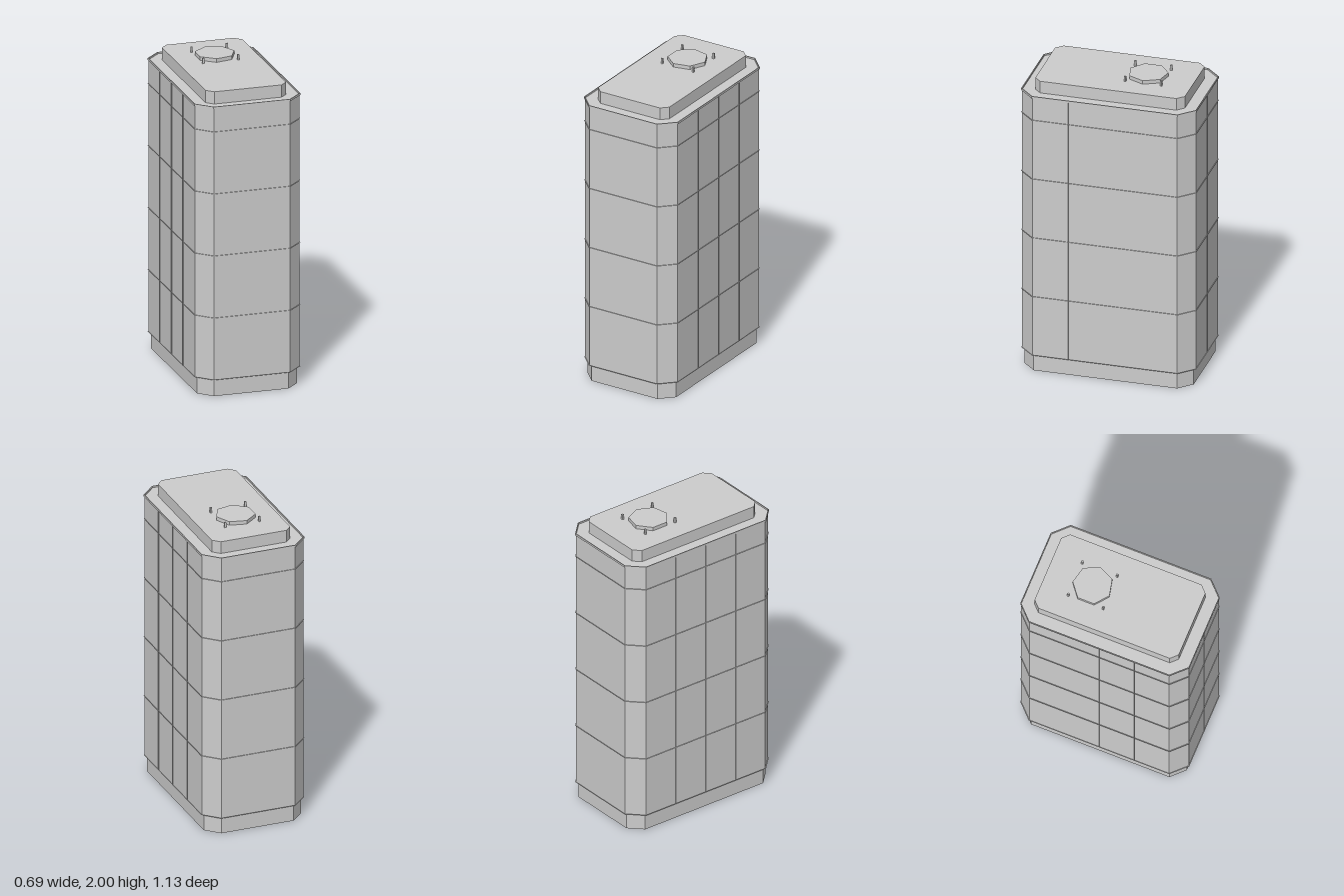
import * as THREE from 'three';

const grey = new THREE.MeshStandardMaterial({ color: 0xcccccc });
grey.name = 'lightGrey';
grey.flatShading = true;
const greyThin = new THREE.MeshStandardMaterial({ color: 0xcccccc, side: THREE.DoubleSide });
greyThin.name = 'lightGreyThin';

// Rectangle with cut corners, half sizes x and z, corner cut c
function octagon(x, z, c, Type = THREE.Shape) {
  return new Type([
    [x, -z + c], [x, z - c], [x - c, z], [-x + c, z],
    [-x, z - c], [-x, -z + c], [-x + c, -z], [x - c, -z],
  ].map(([a, b]) => new THREE.Vector2(a, b)));
}

// Cut-corner frame of wall thickness t
function frame(x, z, c, t) {
  const shape = octagon(x, z, c);
  shape.holes.push(octagon(x - t, z - t, c - t * 0.586, THREE.Path));
  return shape;
}

// Stand a plan shape up between two heights
function upright(shape, y0, y1) {
  return new THREE.ExtrudeGeometry(shape, { depth: y1 - y0, bevelEnabled: false })
    .rotateX(-Math.PI / 2).translate(0, y0, 0);
}

export function createModel() {
  const model = new THREE.Group();
  model.name = 'tower';
  const add = (name, geometry, material = grey) => {
    const mesh = new THREE.Mesh(geometry, material);
    mesh.name = name;
    model.add(mesh);
    return mesh;
  };

  // Hollow skirt, main body, raised rim and roof cap
  add('baseSkirt', upright(frame(0.325, 0.545, 0.083, 0.003), 0, 0.11));
  add('body', upright(octagon(0.34, 0.56, 0.093), 0.11, 1.885));
  add('roofRim', upright(frame(0.345, 0.565, 0.095, 0.006), 1.882, 1.895));
  add('roofCap', upright(octagon(0.262, 0.482, 0.043), 1.88, 1.965));

  // Paper-thin floor ledges around the body
  for (let i = 0; i < 5; i++) {
    const y = 0.111 + i * 0.405;
    add('floorLedge', new THREE.ShapeGeometry(frame(0.345, 0.565, 0.095, 0.008))
      .rotateX(-Math.PI / 2).translate(0, y, 0), greyThin);
  }

  // Paper-thin vertical fins: three on each long side
  const finHeight = 1.775, finY = 0.11 + finHeight / 2;
  for (const side of [-1, 1]) {
    for (const z of [-0.235, 0, 0.235]) {
      add('sideFin', new THREE.PlaneGeometry(0.008, finHeight)
        .translate(side * 0.341, finY, z), greyThin);
    }
    // One single-faced fin in the middle of each short side
    add('endFin', new THREE.PlaneGeometry(0.008, finHeight)
      .rotateY(-side * Math.PI / 2).translate(0, finY, side * 0.561));
  }

  // Seven-sided roof vent with four corner posts
  add('roofVent', new THREE.CylinderGeometry(0.126, 0.126, 0.025, 7)
    .rotateY(Math.PI / 2).translate(0, 1.9765, -0.182));
  for (const x of [-0.115, 0.115]) {
    for (const z of [-0.298, -0.066]) {
      add('ventPost', new THREE.BoxGeometry(0.012, 0.037, 0.012).translate(x, 1.9815, z));
    }
  }
  return model;
}
